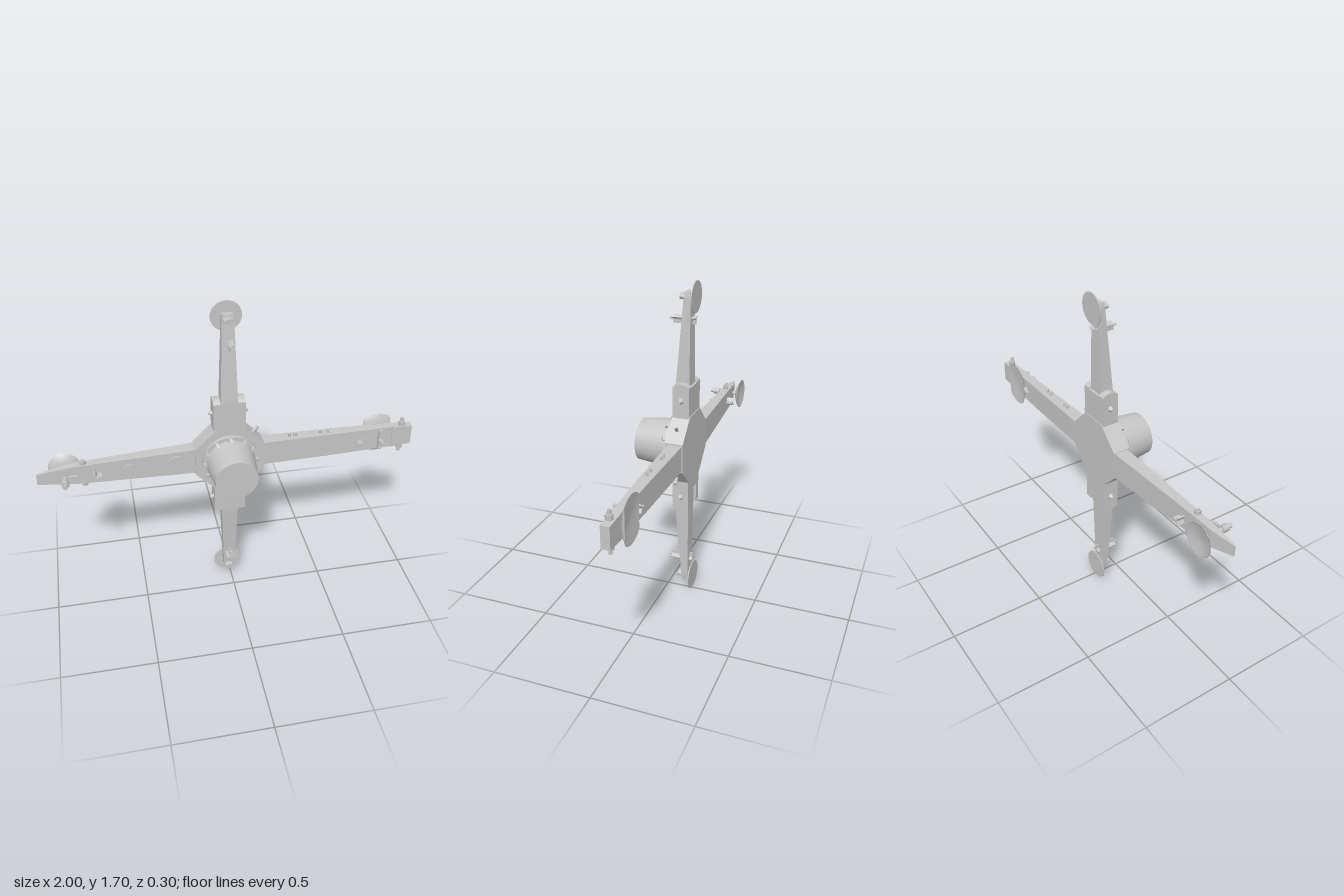
import * as THREE from 'three';

const gray = new THREE.MeshStandardMaterial({ color: 0xc6c6c6 });
gray.name = 'light gray';

function add(parent, name, geo, x = 0, y = 0, z = 0) {
  const m = new THREE.Mesh(geo, gray);
  m.name = name;
  m.position.set(x, y, z);
  parent.add(m);
  return m;
}

// Rectangular loft along x; each section is [x, half width, back z, front z]
function loft(sections) {
  const pos = [];
  const rings = sections.map(([x, h, b, f]) => [[x, -h, b], [x, h, b], [x, h, f], [x, -h, f]]);
  const quad = (a, b, c, d) => pos.push(...a, ...b, ...c, ...a, ...c, ...d);
  for (let s = 0; s < rings.length - 1; s++) {
    for (let i = 0; i < 4; i++) {
      const j = (i + 1) % 4;
      quad(rings[s][i], rings[s][j], rings[s + 1][j], rings[s + 1][i]);
    }
  }
  const e = rings[rings.length - 1], r = rings[0];
  quad(e[0], e[1], e[2], e[3]);
  quad(r[3], r[2], r[1], r[0]);
  const g = new THREE.BufferGeometry();
  g.setAttribute('position', new THREE.Float32BufferAttribute(pos, 3));
  g.computeVertexNormals();
  return g;
}

// Cylinder along z between two depths
function zRod(parent, name, x, y, z0, z1, r0, r1 = r0, sides = 20) {
  const g = new THREE.CylinderGeometry(r1, r0, z1 - z0, sides).rotateX(Math.PI / 2);
  return add(parent, name, g, x, y, (z0 + z1) / 2);
}

// Three-finned sensor post running through an arm
function finPost(parent, x, z0, z1) {
  const post = new THREE.Group();
  post.name = 'finPost';
  post.position.x = x;
  parent.add(post);
  for (const a of [Math.PI, Math.PI / 3, -Math.PI / 3]) {
    const len = z1 - z0 - 0.015;
    const g = new THREE.BoxGeometry(0.024, 0.007, len).translate(0.012, 0, 0).rotateZ(a);
    add(post, 'fin', g, 0, 0, z0 + len / 2);
  }
  zRod(post, 'finCore', 0, 0, z0 + 0.01, z1, 0.007, 0.006, 10);
}

// Shallow dish opening toward the back; profile points are [radius, depth]
function dishGeometry(profile) {
  const pts = profile.map(([r, d]) => new THREE.Vector2(r, d));
  return new THREE.LatheGeometry(pts, 48).rotateX(-Math.PI / 2);
}

function armGroup(parent, name, angle) {
  const g = new THREE.Group();
  g.name = name;
  g.rotation.z = angle;
  parent.add(g);
  return g;
}

// Upper and lower arms, held in a two-cheek bracket
function pivotArm(parent, name, angle) {
  const arm = armGroup(parent, name, angle);
  add(arm, 'taperedArm', loft([
    [0.15, 0.046, -0.122, -0.049], [0.34, 0.044, -0.122, -0.052],
    [0.77, 0.03, -0.12, -0.084], [0.797, 0.026, -0.118, -0.088],
  ]));
  // bracket cheeks with rounded outer ends
  const s = new THREE.Shape();
  s.moveTo(0.15, 0.135);
  s.lineTo(0.15, 0.049);
  s.lineTo(0.335, 0.049);
  s.quadraticCurveTo(0.368, 0.092, 0.335, 0.135);
  s.closePath();
  for (const side of [-1, 1]) {
    const g = new THREE.ExtrudeGeometry(s, { depth: 0.038, bevelEnabled: false, curveSegments: 10 });
    g.rotateX(-Math.PI / 2);
    add(arm, 'bracketCheek', g, 0, side > 0 ? 0.045 : -0.083, 0);
    const pin = add(arm, 'pivotKnob', new THREE.CylinderGeometry(0.006, 0.017, 0.022, 14), 0.265, side * 0.092, -0.092);
    if (side < 0) pin.rotation.z = Math.PI;
  }
  add(arm, 'bracketFloor', new THREE.BoxGeometry(0.07, 0.1, 0.086), 0.2, 0, -0.092);
  finPost(arm, 0.66, -0.138, -0.005);
  // end pad and its oval stud
  zRod(arm, 'endPad', 0.77, 0, -0.14, -0.135, 0.078, 0.078, 40);
  zRod(arm, 'padStem', 0.77, 0, -0.136, -0.08, 0.015);
  zRod(arm, 'padStud', 0.77, 0, -0.09, -0.06, 0.017, 0.015).scale.y = 1.6;
  return arm;
}

export function createModel() {
  const model = new THREE.Group();
  model.name = 'crossArmProbe';
  const hub = new THREE.Group();
  hub.name = 'hub';
  hub.position.set(-0.012, 0.855, 0);
  model.add(hub);

  // octagonal body
  const oct = new THREE.CylinderGeometry(0.197, 0.197, 0.092, 8).rotateY(Math.PI / 8).toNonIndexed();
  oct.computeVertexNormals();
  add(hub, 'octagonBody', oct.rotateX(Math.PI / 2), 0, 0, -0.093);

  // flange, ribs and tapered drum
  zRod(hub, 'flange', 0, 0, -0.05, -0.025, 0.148, 0.148, 48);
  zRod(hub, 'drum', 0, 0, -0.03, 0.148, 0.13, 0.11, 48);
  for (let i = 0; i < 12; i++) {
    const rib = add(hub, 'flangeRib', loft([[0.115, 0.008, -0.03, 0.005], [0.147, 0.008, -0.03, -0.015]]));
    rib.rotation.z = i * Math.PI / 6;
  }
  // diagonal studs on the left-hand corners
  for (const s of [-1, 1]) {
    const g = new THREE.CylinderGeometry(0.009, 0.009, 0.05, 12).rotateZ(-Math.PI / 2).translate(0.195, 0, 0);
    add(hub, 'cornerStud', g, 0, 0, -0.09).rotation.z = s * Math.PI / 4;
  }

  const upper = pivotArm(hub, 'upperArm', Math.PI / 2);
  add(upper, 'bracketBackPlate', new THREE.BoxGeometry(0.16, 0.1, 0.02), 0.25, 0, -0.125);
  pivotArm(hub, 'lowerArm', -Math.PI / 2);

  // left arm
  const left = armGroup(hub, 'leftArm', 0);
  add(left, 'armBeam', loft([
    [0.15, 0.068, -0.134, -0.06], [0.6, 0.066, -0.131, -0.072], [0.9, 0.062, -0.127, -0.082],
  ]));
  add(left, 'endBlock', loft([[0.9, 0.062, -0.128, -0.078], [1.012, 0.055, -0.126, -0.082]]));
  for (const x of [0.33, 0.36, 0.5, 0.54]) {
    add(left, 'crossPeg', new THREE.CylinderGeometry(0.007, 0.007, 0.17, 10), x, 0, -0.097);
  }
  finPost(left, 0.722, -0.148, -0.035);
  // broad dish trimmed straight on two sides
  const wide = dishGeometry([[0, 0.118], [0.05, 0.122], [0.09, 0.131], [0.118, 0.144], [0.113, 0.145], [0.06, 0.139], [0, 0.136]]);
  const wp = wide.attributes.position;
  for (let i = 0; i < wp.count; i++) wp.setX(i, THREE.MathUtils.clamp(wp.getX(i), -0.077, 0.077));
  wide.computeVertexNormals();
  add(left, 'trimmedDish', wide, 0.83, 0, 0);
  zRod(left, 'dishPost', 0.83, 0, -0.12, -0.02, 0.01);
  zRod(left, 'dishPostNut', 0.83, 0, -0.052, -0.03, 0.016, 0.016, 8);
  add(left, 'dishPostBar', new THREE.BoxGeometry(0.02, 0.116, 0.016), 0.83, 0, -0.07);
  // cross rod through the end block
  add(left, 'endRod', new THREE.CylinderGeometry(0.009, 0.009, 0.21, 12), 0.957, 0, -0.1);
  for (const s of [-1, 1]) {
    add(left, 'endRodNut', new THREE.CylinderGeometry(0.018, 0.018, 0.026, 8), 0.957, s * 0.07, -0.1);
  }

  // right arm
  const right = armGroup(hub, 'rightArm', Math.PI);
  add(right, 'armBeam', loft([
    [0.15, 0.073, -0.134, -0.06], [0.78, 0.054, -0.1, -0.057],
    [0.87, 0.046, -0.093, -0.057], [0.988, 0.029, -0.064, -0.056],
  ]));
  zRod(right, 'largeCover', 0.282, 0, -0.062, -0.05, 0.048, 0.048, 32);
  zRod(right, 'smallCover', 0.523, 0, -0.062, -0.049, 0.032, 0.032, 24);
  finPost(right, 0.688, -0.142, 0);
  add(right, 'crossPeg', new THREE.CylinderGeometry(0.009, 0.009, 0.16, 10), 0.752, 0, -0.075);
  for (const s of [-1, 1]) {
    add(right, 'pegNut', new THREE.CylinderGeometry(0.016, 0.016, 0.018, 8), 0.752, s * 0.064, -0.075);
  }
  // round dish and its mast
  add(right, 'roundDish', dishGeometry([[0, 0.117], [0.035, 0.119], [0.062, 0.13], [0.083, 0.144], [0.078, 0.145], [0.045, 0.136], [0, 0.132]]), 0.848, 0, 0);
  zRod(right, 'dishMast', 0.848, 0, -0.12, 0.04, 0.011);
  zRod(right, 'mastCollar', 0.848, 0, -0.012, 0.022, 0.019, 0.019, 8);
  add(right, 'mastBar', new THREE.BoxGeometry(0.03, 0.11, 0.014), 0.848, 0, -0.05);
  add(right, 'mastArm', new THREE.BoxGeometry(0.06, 0.014, 0.014), 0.815, 0, -0.045);

  return model;
}
